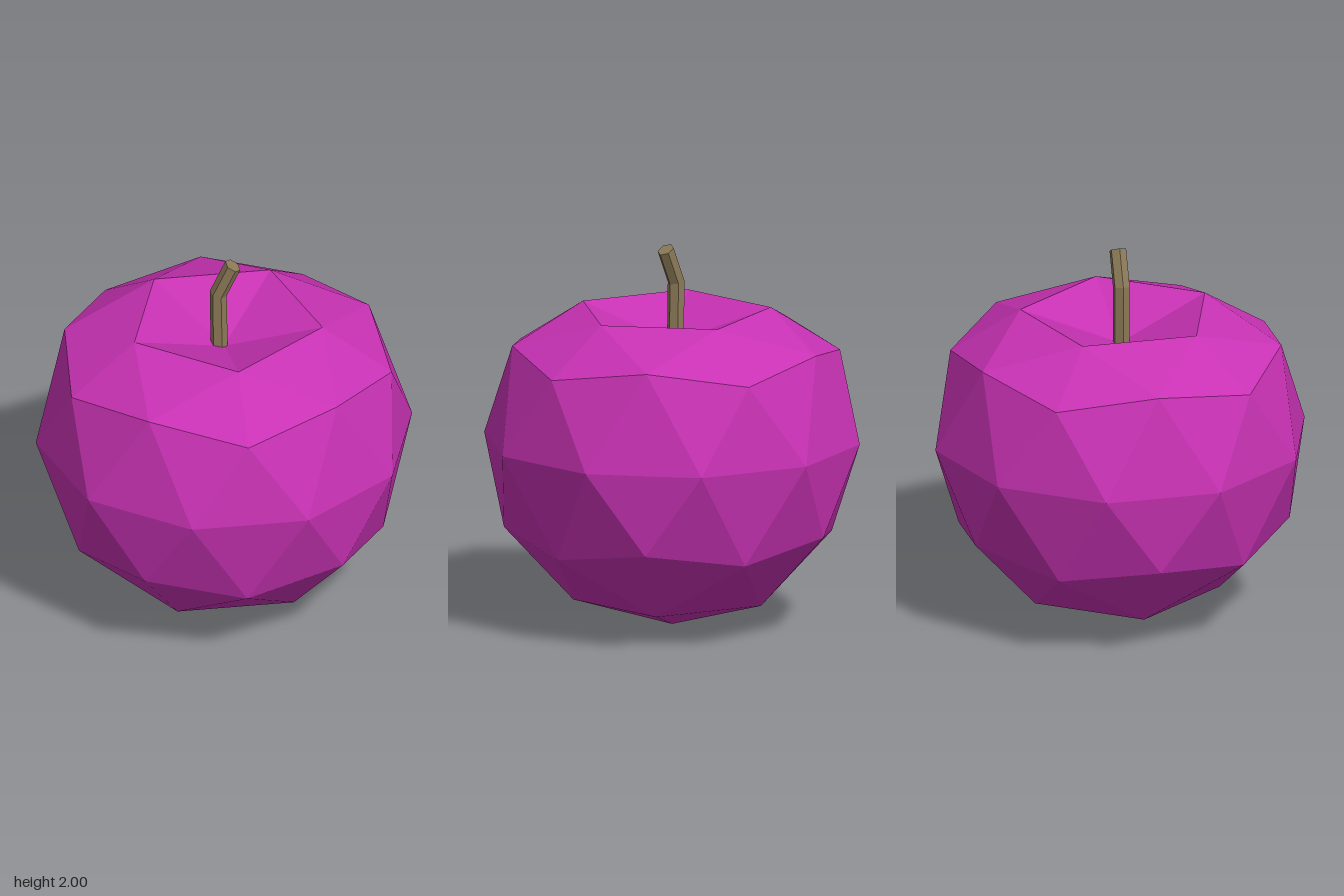
import * as THREE from 'three';

const R = 0.978;

// Faceted fruit: an icosphere standing on a vertex, with its crown lowered and dented
function createFruit() {
  const geo = new THREE.IcosahedronGeometry(R, 1);
  geo.rotateZ(-Math.atan(2 / (1 + Math.sqrt(5)))); // bring one corner to the pole
  geo.translate(0, R, 0);
  const p = geo.attributes.position;
  for (let i = 0; i < p.count; i++) {
    const y = p.getY(i);
    if (y > 1.9) p.setY(i, 1.48);       // bottom of the hollow
    else if (y > 1.7) p.setY(i, 1.65);  // rim of the hollow
  }
  geo.computeVertexNormals();
  const mesh = new THREE.Mesh(geo, new THREE.MeshStandardMaterial({ color: 0xc832b4, flatShading: true }));
  mesh.name = 'fruit';
  return mesh;
}

// Six-sided stem, bent once: each ring is centred on x, y and tilted in the xy plane
function createStem() {
  const rings = [
    { x: -0.025, y: 1.46, tilt: 0 },
    { x: -0.03, y: 1.8, tilt: -0.25 },
    { x: 0.046, y: 1.977, tilt: -0.53 },
  ];
  const r = 0.045;
  const geo = new THREE.CylinderGeometry(r, r, 2, 6, 2, false, Math.PI / 2);
  const p = geo.attributes.position;
  for (let i = 0; i < p.count; i++) {
    const ring = rings[Math.round(p.getY(i)) + 1];
    const x = p.getX(i);
    p.setXY(i, ring.x + x * Math.cos(ring.tilt), ring.y + x * Math.sin(ring.tilt));
  }
  geo.computeVertexNormals();
  const mesh = new THREE.Mesh(geo, new THREE.MeshStandardMaterial({ color: 0x8c7a58, flatShading: true }));
  mesh.name = 'stem';
  return mesh;
}

export function createModel() {
  const group = new THREE.Group();
  group.name = 'apple';
  group.add(createFruit(), createStem());
  return group;
}
